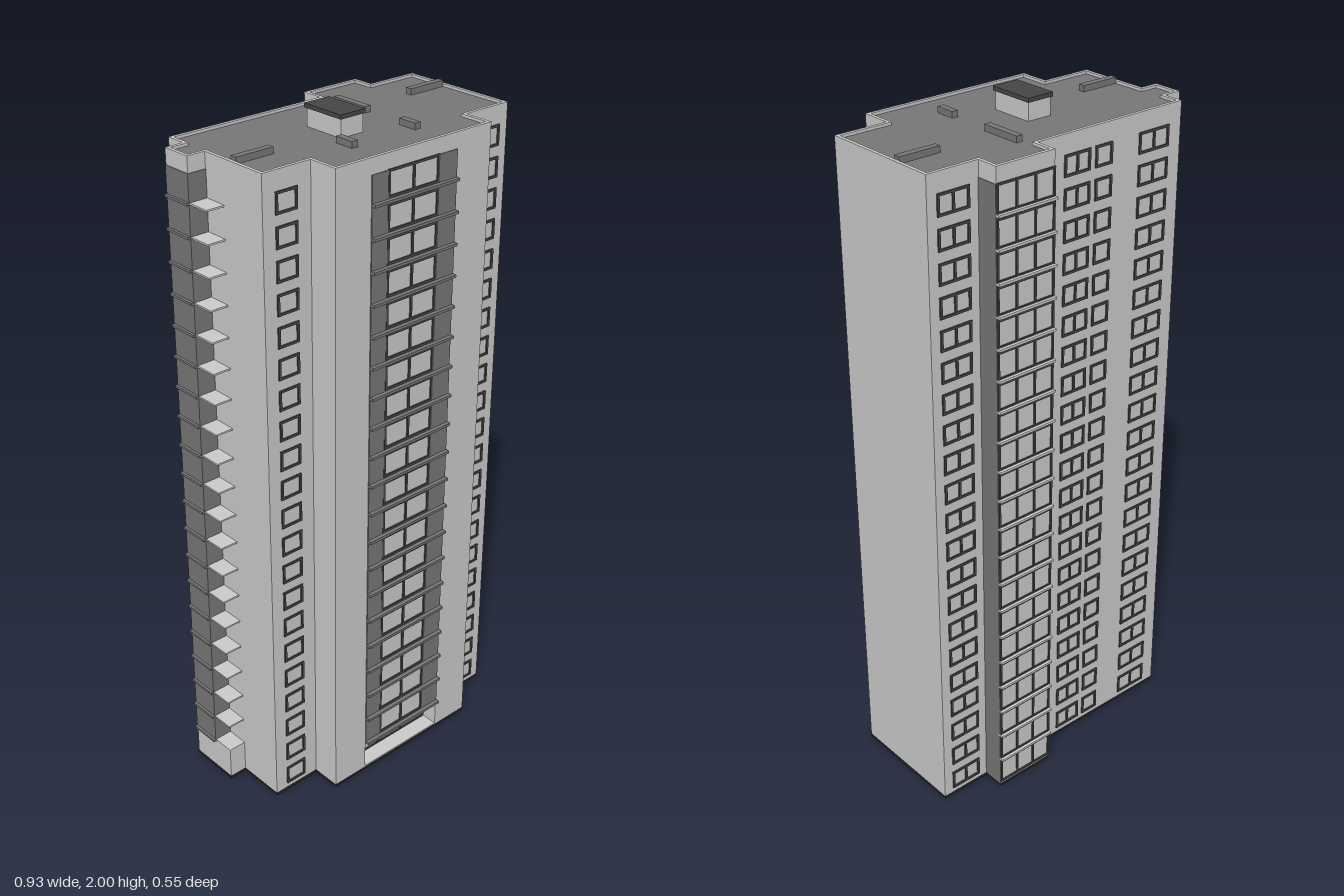
import * as THREE from 'three';
import { mergeGeometries } from 'three/addons/utils/BufferGeometryUtils.js';

const wallMat = new THREE.MeshStandardMaterial({ color: 0xcccccc });
const darkMat = new THREE.MeshStandardMaterial({ color: 0x777777 });
const trimMat = new THREE.MeshStandardMaterial({ color: 0x464646 });
const baseMat = new THREE.MeshStandardMaterial({ color: 0x262626 });

const FLOORS = 21, STEP = 0.09025, FIRST = 0.055; // storey rhythm
const TOP = 1.945, GLAZED_TOP = 1.9;

// Plan outline as [x, z], moved inward by d
function footprint(d = 0) {
  const l = -0.40 + d, r = 0.46 - d, f = 0.17 - d, b = -0.20 + d;
  return [
    [l, f], [-0.245 + d, f], [-0.245 + d, 0.26 - d], [0.30 - d, 0.26 - d], [0.30 - d, f], [r, f],
    [r, b], [0.30 - d, b], [0.30 - d, -0.265 + d], [0.11 + d, -0.265 + d], [0.11 + d, b], [l, b],
    [l, -0.14 + d], [-0.455 + d, -0.14 + d], [-0.455 + d, -0.05 - d], [l, -0.05 - d],
  ];
}

const toPoints = (plan) => plan.map(([x, z]) => new THREE.Vector2(x, -z));

// Raise a plan outline from y0 to y1
function raise(plan, y0, y1, hole) {
  const shape = new THREE.Shape(toPoints(plan));
  if (hole) shape.holes.push(new THREE.Path(toPoints(hole)));
  return new THREE.ExtrudeGeometry(shape, { depth: y1 - y0, bevelEnabled: false })
    .rotateX(-Math.PI / 2).translate(0, y0, 0);
}

// Box given by its limits
function block(x0, x1, y0, y1, z0, z1) {
  return new THREE.BoxGeometry(x1 - x0, y1 - y0, z1 - z0)
    .translate((x0 + x1) / 2, (y0 + y1) / 2, (z0 + z1) / 2);
}

// Window frame with a row of openings, centred, facing +z
function frame(w, h, panes, bar = 0.007, depth = 0.004) {
  const rect = (Type, x0, y0, x1, y1) => new Type([
    new THREE.Vector2(x0, y0), new THREE.Vector2(x1, y0),
    new THREE.Vector2(x1, y1), new THREE.Vector2(x0, y1)]);
  const shape = rect(THREE.Shape, -w / 2, -h / 2, w / 2, h / 2);
  const pane = (w - bar * (panes + 1)) / panes;
  for (let i = 0; i < panes; i++) {
    const x = -w / 2 + bar + i * (pane + bar);
    shape.holes.push(rect(THREE.Path, x, -h / 2 + bar, x + pane, h / 2 - bar));
  }
  return new THREE.ExtrudeGeometry(shape, { depth, bevelEnabled: false });
}

// Repeat a geometry on the storeys from..FLOORS-1
function stack(geometry, from = 0) {
  const copies = [];
  for (let i = from; i < FLOORS; i++) copies.push(geometry.clone().translate(0, i * STEP, 0));
  return mergeGeometries(copies);
}

export function createModel() {
  const group = new THREE.Group();
  const add = (name, geometry, material) => {
    const mesh = new THREE.Mesh(geometry, material);
    mesh.name = name;
    group.add(mesh);
  };

  // Plinth, ground storey with entrance recess, tower and parapet
  const ground = footprint();
  ground.splice(3, 0, [-0.125, 0.26], [-0.125, 0.205], [0.175, 0.205], [0.175, 0.26]);
  add('plinth', raise(footprint(), 0, 0.01), baseMat);
  add('groundStorey', raise(ground, 0.01, 0.1), wallMat);
  add('tower', raise(footprint(), 0.1, 1.93), wallMat);
  add('parapet', raise(footprint(), 1.93, TOP, footprint(0.01)), wallMat);
  add('roof', raise(footprint(0.01), 1.93, 1.937), darkMat);

  // Entrance doors
  add('entranceFloor', block(-0.125, 0.175, 0.01, 0.013, 0.205, 0.26), wallMat);
  add('entranceDoors', frame(0.3, 0.088, 3, 0.005).translate(0.025, 0.056, 0.205), trimMat);

  // Paired and single windows: [x centre, width, panes]
  const front = [[-0.325, 0.07, 1], [0.38, 0.1, 2]];
  const back = [[0.38, 0.1, 2], [-0.025, 0.09, 2], [-0.118, 0.06, 1], [-0.3, 0.11, 2]];
  front.forEach(([x, w, n]) =>
    add('frontWindows', stack(frame(w, 0.06, n).translate(x, FIRST, 0.17)), trimMat));
  back.forEach(([x, w, n]) =>
    add('backWindows', stack(frame(w, 0.06, n).rotateY(Math.PI).translate(x, FIRST, -0.20)), trimMat));

  // Central front bay: dark side strips, glazing and ledges
  for (const [x0, x1] of [[-0.125, -0.07], [0.11, 0.175]])
    add('frontBayStrip', block(x0, x1, 0.1, GLAZED_TOP, 0.25, 0.263), darkMat);
  add('frontBayWindows', stack(frame(0.18, 0.076, 2).translate(0.02, FIRST + 0.004, 0.26), 1), trimMat);
  add('frontBayLedges', stack(block(-0.125, 0.175, 0.012, 0.02, 0.255, 0.275), 1), darkMat);

  // Rear bay: dark cheeks, three-pane glazing and ledges
  for (const x of [0.11, 0.30])
    add('rearBayCheek', block(x - 0.002, x + 0.002, 0.01, GLAZED_TOP, -0.266, -0.20), darkMat);
  add('rearBayWindows',
    stack(frame(0.19, 0.08, 3, 0.006).rotateY(Math.PI).translate(0.205, FIRST + 0.002, -0.265)), trimMat);
  add('rearBayLedges', stack(block(0.11, 0.302, 0.012, 0.019, -0.278, -0.26), 1), wallMat);

  // Side stair bay: dark cladding, ledges, corner balconies and porch
  add('sideBayCladding', block(-0.457, -0.45, 0.1, GLAZED_TOP, -0.14, -0.048), darkMat);
  add('sideBayFrontCladding', block(-0.457, -0.40, 0.1, GLAZED_TOP, -0.055, -0.048), darkMat);
  add('sideBayLedges', stack(block(-0.465, -0.45, 0.013, 0.02, -0.14, -0.048), 1), darkMat);
  add('cornerBalconies', stack(block(-0.455, -0.40, 0.014, 0.019, -0.05, 0.02), 1), wallMat);
  add('sidePorch', block(-0.455, -0.40, 0.01, 0.105, -0.05, 0.02), wallMat);
  add('porchPlinth', block(-0.455, -0.40, 0, 0.01, -0.05, 0.02), baseMat);

  // Roof hut with rimmed cap
  add('roofHut', block(-0.068, 0.008, 1.93, 1.99, -0.048, 0.083), wallMat);
  add('roofHutCap', block(-0.073, 0.012, 1.988, 2, -0.053, 0.088), trimMat);

  // Low roof vents: [x0, x1, z0, z1]
  [[-0.39, -0.27, 0.04, 0.06], [0.325, 0.45, -0.085, -0.065], [0.12, 0.14, -0.155, -0.03],
    [0.12, 0.14, 0.1, 0.16], [-0.1, -0.08, 0.1, 0.16]].forEach(([x0, x1, z0, z1]) =>
    add('roofVent', block(x0, x1, 1.93, 1.955, z0, z1), darkMat));

  return group;
}
